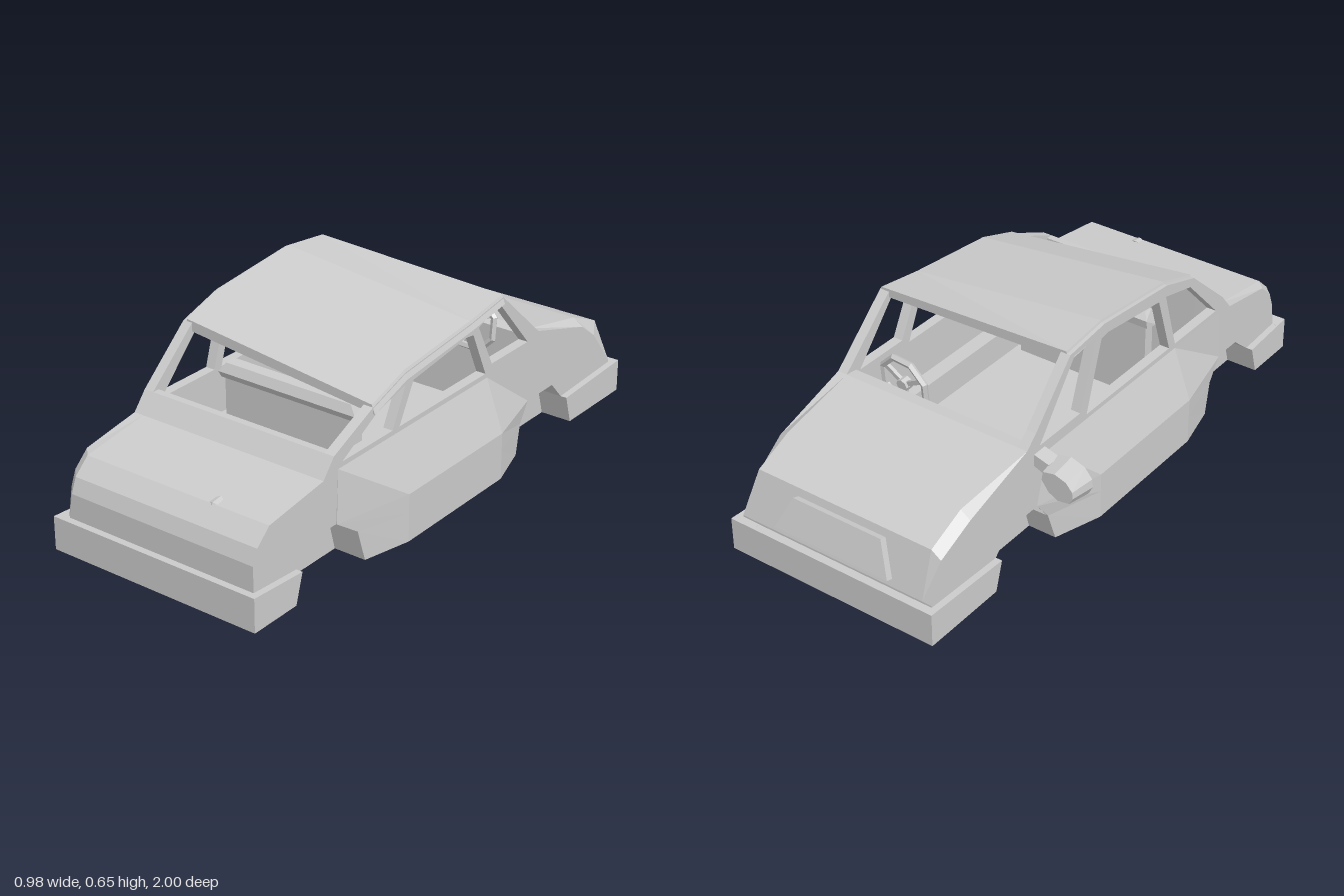
import * as THREE from 'three';

const material = new THREE.MeshStandardMaterial({ color: 0xcccccc, flatShading: true, side: THREE.DoubleSide });

function add(parent, name, geometry) {
  const mesh = new THREE.Mesh(geometry, material);
  mesh.name = name;
  parent.add(mesh);
  return mesh;
}

const toShape = (pts) => new THREE.Shape(pts.map(([a, b]) => new THREE.Vector2(a, b)));

// Side-on [z, y] outline extruded across the car from x0 to x1
function slab(pts, x0, x1, holes = []) {
  const shape = toShape(pts);
  holes.forEach((h) => shape.holes.push(toShape(h)));
  const g = new THREE.ExtrudeGeometry(shape, { depth: x1 - x0, bevelEnabled: false });
  return g.rotateY(-Math.PI / 2).translate(x1, 0, 0);
}

// Skin through a list of equally long rows of [x, y, z] points
function skin(rows, closed = false) {
  const n = rows[0].length, index = [];
  for (let i = 0; i < rows.length - 1; i++) {
    for (let j = 0; j < (closed ? n : n - 1); j++) {
      const a = i * n + j, b = i * n + (j + 1) % n;
      index.push(a, b, a + n, b, b + n, a + n);
    }
  }
  if (closed) {
    const e = (rows.length - 1) * n;
    for (let j = 1; j < n - 1; j++) index.push(0, j + 1, j, e, e + j, e + j + 1);
  }
  const g = new THREE.BufferGeometry();
  g.setAttribute('position', new THREE.Float32BufferAttribute(rows.flat(2), 3));
  g.setIndex(index);
  g.computeVertexNormals();
  return g;
}

// Move vertices by a rule
function warp(g, rule) {
  const p = g.attributes.position, v = new THREE.Vector3();
  for (let i = 0; i < p.count; i++) {
    v.fromBufferAttribute(p, i);
    rule(v);
    p.setXYZ(i, v.x, v.y, v.z);
  }
  g.computeVertexNormals();
  return g;
}

// Lower body outline with the cabin sunk to a given height
function bodyOutline(cabinFloor, arches) {
  const pts = [
    [0.975, 0], [0.975, 0.2], [0.955, 0.25], [0.9, 0.3], [0.65, 0.335], [0.6, 0.395], [0.575, 0.395],
    [0.565, cabinFloor], [-0.45, cabinFloor], [-0.455, 0.395], [-0.5, 0.4], [-0.78, 0.34], [-0.92, 0.28],
    [-0.97, 0.12], [-0.97, 0],
  ];
  if (arches) {
    pts.push([-0.69, 0], [-0.66, 0.1], [-0.6, 0.165], [-0.47, 0.165], [-0.4, 0.1], [-0.37, 0],
      [0.48, 0], [0.51, 0.11], [0.59, 0.165], [0.7, 0.165], [0.78, 0.1], [0.81, 0]);
  }
  return pts;
}

const MID = 0.055; // centre line of the body
const HALF = 0.37;

export function createModel() {
  const car = new THREE.Group();
  car.name = 'car';

  // Centre of the body with the cabin tub
  add(car, 'bodyCore', slab(bodyOutline(0.1, false), MID - 0.28, MID + 0.28));

  // Roof stations: z, height on the right, height on the left (the roof leans)
  const roof = [[0.41, 0.57, 0.487], [0.25, 0.62, 0.54], [-0.1, 0.655, 0.577], [-0.28, 0.635, 0.605]];

  for (const s of [-1, 1]) {
    const side = new THREE.Group();
    side.name = s < 0 ? 'rightSide' : 'leftSide';
    car.add(side);
    const across = (pts, near, far, holes) => {
      const a = MID + s * near, b = MID + s * far;
      return slab(pts, Math.min(a, b), Math.max(a, b), holes);
    };

    // Sill and wheel wells, then the outer panel with its crumpled corners
    add(side, 'innerSill', across(bodyOutline(0.2, true), 0.28, HALF - 0.035));
    add(side, 'outerPanel', warp(across(bodyOutline(0.35, true), HALF - 0.035, HALF), (v) => {
      if (Math.abs(v.x - MID) < HALF - 0.01) return;
      if (v.z < -0.75 && v.y > 0.2) {
        v.y -= 0.025;
        if (s > 0 && v.z < -0.9) v.z += 0.06;
      }
      if (s < 0 && v.z > 0.85 && v.y > 0.19) v.z -= 0.035;
    }));

    // Bulging door panel: [z, y, bulge] columns
    const ends = [
      [[-0.37, 0, 0.012], [-0.4, 0.1, 0.005], [-0.45, 0.165, 0], [-0.4, 0.345, 0]],
      [[0.48, 0, 0.025], [0.51, 0.11, 0.02], [0.59, 0.165, 0.003], [0.58, 0.345, 0]],
    ];
    const full = (z) => [[z, 0, 0.065], [z, 0.1, 0.065], [z, 0.165, 0.065], [z, 0.345, 0]];
    const flat = (col) => col.map(([z, y]) => [z, y, -0.002]);
    const columns = [flat(ends[0]), ends[0], full(-0.2), full(0.31), ends[1], flat(ends[1])];
    const rows = columns.map((col) => [[col[0][0], 0, -0.01], ...col]
      .map(([z, y, out]) => [MID + s * (HALF + out), y, z]));
    add(side, 'doorPanel', skin(s > 0 ? rows.reverse() : rows));

    // Pillars and window openings
    const R = roof.map((r) => [r[0], (s < 0 ? r[1] : r[2]) - 0.008]);
    const [y0, y1, y2, y3] = R.map((r) => r[1]);
    const windows = [
      [[0.56, 0.362], [0.31, 0.362], [0.245, y1 - 0.04], [0.39, y0 - 0.025]],
      [[0.275, 0.362], [0.205, y1 - 0.04], [-0.08, y2 - 0.04], [-0.115, y2 - 0.045], [-0.19, 0.362]],
      [[-0.225, 0.385], [-0.145, y2 - 0.03], [-0.257, y3 - 0.012], [-0.435, 0.385]],
    ];
    const frame = [[0.6, 0.35], [0.6, 0.395], ...R, [-0.455, 0.44], [-0.5, 0.4], [-0.5, 0.35]];
    add(side, 'windowFrame', across(frame, HALF - 0.035, HALF, windows));
  }

  // Leaning roof panel with chamfered edges
  add(car, 'roof', skin(roof.map(([z, r, l]) => [
    [-0.31, r - 0.035, z], [-0.3, r, z], [0.42, l, z], [0.432, l - 0.03, z],
    [0.39, l - 0.022, z], [-0.28, r - 0.027, z],
  ]), true));

  // Bumpers ending at the wheel arches
  const rearBumper = [[1, 0], [1, 0.115], [0.78, 0.1], [0.81, 0]];
  const frontBumper = [[-1, 0], [-1, 0.115], [-0.66, 0.1], [-0.69, 0]];
  for (const [name, outline] of [['rearBumper', rearBumper], ['frontBumper', frontBumper]]) {
    const end = Math.sign(outline[0][0]);
    // solid across the ends, short returns along the sides
    add(car, name, slab([[end, 0], [end, 0.115], [end * 0.95, 0.112], [end * 0.95, 0]], -0.338, 0.448));
    add(car, name + 'Right', slab(outline, -0.338, -0.25));
    add(car, name + 'Left', slab(outline, 0.36, 0.448));
  }

  // Tapered front panel leaning against the nose
  const panel = new THREE.ExtrudeGeometry(
    toShape([[-0.22, 0], [0.22, 0], [0.17, 0.115], [-0.17, 0.115]]), { depth: 0.025, bevelEnabled: false });
  const grille = add(car, 'frontPanel', panel);
  grille.position.set(MID, 0.155, -0.99);
  grille.rotation.x = 0.33;

  // Small dent standing up on the boot edge
  const dent = add(car, 'bootDent', new THREE.OctahedronGeometry(1));
  dent.scale.set(0.05, 0.018, 0.035);
  dent.position.set(0.215, 0.29, 0.89);
  dent.rotation.x = 0.6;

  // Rear seat with a padded top rail
  add(car, 'rearSeatBack', slab([[0.31, 0.1], [0.31, 0.38], [0.35, 0.38], [0.35, 0.1]], -0.2, 0.31));
  add(car, 'rearSeatRail', warp(
    slab([[0.3, 0.385], [0.295, 0.415], [0.32, 0.435], [0.355, 0.43], [0.37, 0.4], [0.355, 0.375]], -0.212, 0.322),
    (v) => { if (v.y > 0.42) v.x = MID + (v.x - MID) * 0.92; }));

  // Steering wheel
  const wheel = new THREE.Group();
  wheel.name = 'steeringWheel';
  wheel.position.set(0.21, 0.4, -0.432);
  wheel.rotation.set(-0.1, -0.08, 0);
  car.add(wheel);
  add(wheel, 'rim', new THREE.TorusGeometry(0.095, 0.012, 5, 8).rotateZ(Math.PI / 8));
  for (const a of [0, 2.1, -2.1]) {
    add(wheel, 'spoke', new THREE.BoxGeometry(0.016, 0.09, 0.012).translate(0, 0.045, 0).rotateZ(a + Math.PI));
  }
  add(wheel, 'hub', new THREE.CylinderGeometry(0.022, 0.022, 0.03, 8).rotateX(Math.PI / 2));

  // Single wing mirror on the right
  const mirror = new THREE.Group();
  mirror.name = 'wingMirror';
  car.add(mirror);
  const head = toShape([[-0.49, 0.287], [-0.487, 0.315], [-0.46, 0.348], [-0.41, 0.365], [-0.36, 0.354],
    [-0.355, 0.315], [-0.385, 0.272], [-0.425, 0.25], [-0.475, 0.258]]);
  add(mirror, 'mirrorHead', warp(
    new THREE.ExtrudeGeometry(head, { depth: 0.09, bevelEnabled: false }).translate(0, 0, -0.495), (v) => {
      if (v.z < -0.45) { // rounded, smaller front of the housing
        v.x = -0.42 + (v.x + 0.42) * 0.85;
        v.y = 0.31 + (v.y - 0.31) * 0.8;
      }
    }));
  const arm = toShape([[-0.37, 0.352], [-0.3, 0.372], [-0.3, 0.332], [-0.37, 0.305]]);
  add(mirror, 'mirrorArm', new THREE.ExtrudeGeometry(arm, { depth: 0.055, bevelEnabled: false }).translate(0, 0, -0.465));

  return car;
}
